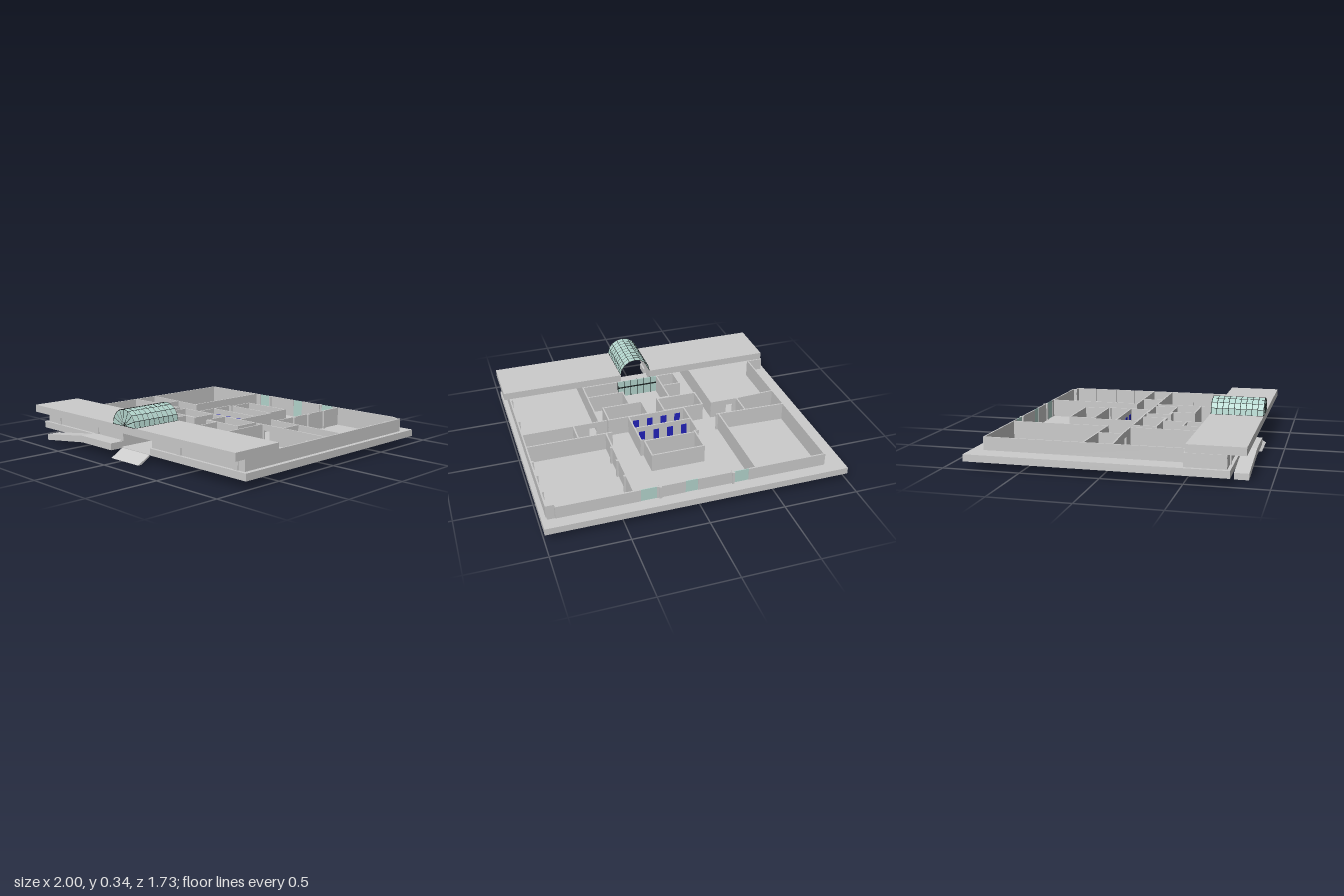
import * as THREE from 'three';

const mat = (color, double) => new THREE.MeshStandardMaterial({ color, flatShading: true, side: double ? THREE.DoubleSide : THREE.FrontSide });
const GREY = mat(0xcccccc), TEAL = mat(0xb4d6ce, true), FAN = mat(0xb4d6ce), DARK = mat(0x1c2222), BLUE = mat(0x2222bb);
const TOP = 0.18, LOW = 0.046;

export function createModel() {
  const root = new THREE.Group();
  const add = (name, geo, m = GREY, parent = root) => {
    const mesh = new THREE.Mesh(geo, m);
    mesh.name = name;
    parent.add(mesh);
    return mesh;
  };
  const box = (name, x0, x1, y0, y1, z0, z1, m, parent) => {
    const b = add(name, new THREE.BoxGeometry(x1 - x0, y1 - y0, z1 - z0), m, parent);
    b.position.set((x0 + x1) / 2, (y0 + y1) / 2, (z0 + z1) / 2);
    return b;
  };
  const group = (name) => {
    const g = new THREE.Group();
    g.name = name;
    root.add(g);
    return g;
  };
  const extrude = (pts, depth) => new THREE.ExtrudeGeometry(
    new THREE.Shape(pts.map((p) => new THREE.Vector2(...p))), { depth, bevelEnabled: false });

  // raised terrace around the building, open at the entrance
  const terrace = [[-1, 0.77], [-0.13, 0.77], [-0.13, 0.75], [-0.97, 0.75], [-0.97, 0.5], [-0.865, 0.5],
    [-0.865, -0.78], [0.96, -0.78], [0.96, 0.75], [0.17, 0.75], [0.17, 0.77], [0.995, 0.77], [0.995, -0.865], [-1, -0.865]];
  const terraceGeo = extrude(terrace.map(([x, z]) => [x, -z]), 0.045);
  terraceGeo.rotateX(-Math.PI / 2);
  add('terrace', terraceGeo).position.y = 0.05;
  box('floor', -0.97, 0.965, 0.05, 0.055, -0.78, 0.75);
  box('entranceFloor', -0.13, 0.17, 0.05, 0.055, 0.75, 0.77);

  // side walkway sloping to the ground, and the entrance ramp
  add('walkwayRamp', extrude([[-0.83, 0], [-0.42, 0.05], [-0.11, 0.05], [-0.11, 0.095], [-0.42, 0.095], [-0.83, 0.04]], 0.09)).position.z = 0.77;
  const ramp = extrude([[-0.86, 0], [-0.835, 0], [-0.77, 0.04], [-0.77, 0.052]], 0.27);
  ramp.rotateY(Math.PI / 2);
  add('entranceRamp', ramp).position.x = -0.11;

  // walls between plan points; a door is [start, end] along the wall, under a lintel
  const walls = group('walls');
  const wall = (x0, z0, x1, z1, door) => {
    const len = Math.hypot(x1 - x0, z1 - z0), g = new THREE.Group();
    g.name = 'wall';
    g.position.set(x0, 0, z0);
    g.rotation.y = -Math.atan2(z1 - z0, x1 - x0);
    walls.add(g);
    const piece = (a, b, y0) => box('wallPiece', a, b, y0, TOP, -0.005, 0.005, GREY, g);
    if (!door) return piece(-0.004, len + 0.004, LOW);
    piece(-0.004, door[0], LOW);
    piece(door[0], door[1], 0.14);
    piece(door[1], len + 0.004, LOW);
  };
  const path = (...p) => p.slice(1).forEach((q, i) => wall(...p[i], ...q));
  const room = (x0, x1, z0, z1) => path([x0, z0], [x1, z0], [x1, z1], [x0, z1], [x0, z0]);

  // outer walls
  path([-0.34, -0.78], [-0.865, -0.78], [-0.865, 0.5], [-0.97, 0.5], [-0.97, 0.745], [-0.13, 0.745], [-0.13, 0.5]);
  path([0.38, -0.78], [0.905, -0.78], [0.905, -0.755], [0.96, -0.755], [0.96, 0.745], [0.17, 0.745], [0.17, 0.5]);
  path([-0.23, -0.78], [0, -0.78]);
  path([0.09, -0.78], [0.27, -0.78]);
  // halls on both sides
  path([-0.385, -0.78], [-0.385, -0.125], [-0.37, -0.125]);
  wall(-0.865, -0.14, -0.385, -0.125);
  wall(-0.865, 0.045, -0.58, 0.03);
  wall(-0.58, 0.03, -0.39, 0.03, [0.03, 0.08]);
  wall(-0.39, 0.03, -0.39, 0.745);
  wall(-0.58, -0.13, -0.58, 0.03);
  wall(0.42, -0.78, 0.42, -0.12);
  wall(0.38, -0.12, 0.96, -0.12);
  wall(0.42, 0.03, 0.96, 0.03, [0.03, 0.08]);
  wall(0.43, 0.03, 0.43, 0.745);
  wall(0.61, -0.12, 0.61, 0.03);
  wall(0.42, 0.03, 0.38, 0.03);
  // rooms in the middle
  room(-0.155, 0.2, -0.455, -0.285);
  path([-0.155, -0.27], [-0.18, -0.27], [-0.18, 0.025]);
  path([0.2, -0.27], [0.22, -0.27], [0.22, 0.025]);
  room(-0.32, -0.04, 0.03, 0.19);
  room(0.08, 0.36, 0.03, 0.19);
  path([-0.04, 0.2], [-0.13, 0.2], [-0.13, 0.5]);
  path([0.08, 0.2], [0.17, 0.2], [0.17, 0.355], [0.43, 0.355], [0.43, 0.5], [0.17, 0.5]);
  room(-0.26, -0.13, 0.355, 0.5);

  // central walls with blue doors
  const doors = group('centralDoors');
  for (const z of [-0.12, 0.025]) {
    wall(-0.18, z, 0.22, z);
    for (let i = 0; i < 4; i++) {
      const x = -0.13 + i * 0.1;
      box('blueDoor', x - 0.02, x + 0.02, 0.055, 0.145, z - 0.008, z + 0.008, BLUE, doors);
    }
  }

  // pilasters
  const pilasters = group('pilasters');
  for (const z of [-0.61, -0.44, -0.29, 0.2, 0.49]) {
    box('pilaster', 0.942, 0.96, LOW, TOP, z - 0.009, z + 0.009, GREY, pilasters);
    if (z < 0) box('pilaster', 0.42, 0.438, LOW, TOP, z - 0.009, z + 0.009, GREY, pilasters);
  }
  for (const x of [-0.84, -0.4, 0.42, 0.9]) box('pilaster', x - 0.018, x + 0.018, LOW, TOP, 0.74, 0.757, GREY, pilasters);
  for (const x of [-0.23, 0.25]) box('pilaster', x - 0.008, x + 0.008, LOW, TOP, -0.795, -0.765, GREY, pilasters);

  // back windows
  for (const [a, b] of [[-0.34, -0.23], [0, 0.09], [0.27, 0.38]]) box('backWindow', a, b, LOW, TOP, -0.782, -0.778, TEAL);

  // glazed entrance front
  const front = group('entranceGlazing');
  box('entranceGlass', -0.13, 0.17, 0.05, TOP, 0.495, 0.5, TEAL, front);
  box('transom', -0.13, 0.17, 0.126, 0.134, 0.49, 0.506, DARK, front);
  for (const x of [-0.128, -0.08, -0.03, 0.02, 0.07, 0.12, 0.168]) box('mullion', x - 0.002, x + 0.002, 0.05, TOP, 0.492, 0.504, DARK, front);

  // flat roof with an opening below the glass vault
  const roof = group('frontRoof');
  box('roofRight', -0.97, -0.08, TOP, 0.23, 0.505, 0.86, GREY, roof);
  box('roofLeft', 0.14, 1, TOP, 0.23, 0.505, 0.86, GREY, roof);
  box('roofFrontBeam', -0.08, 0.14, TOP, 0.23, 0.845, 0.86, GREY, roof);

  // barrel vault: glass strips, ribs and a fan at the front
  const vault = group('glassVault');
  vault.position.set(0.03, 0.23, 0.51);
  const SEG = 8, LEN = 0.35, R = 0.11;
  const at = (i, z) => {
    const t = Math.PI * i / SEG;
    return new THREE.Vector3(Math.cos(t) * R, Math.sin(t) * 0.105, z);
  };
  const glass = new THREE.CylinderGeometry(1, 1, LEN, SEG, 1, true, -Math.PI / 2, Math.PI);
  glass.rotateX(Math.PI / 2).rotateZ(Math.PI);
  glass.computeBoundingBox();
  if (glass.boundingBox.max.y < 0.5) glass.rotateZ(Math.PI);
  glass.scale(R, 0.105, 1).translate(0, 0, LEN / 2);
  add('vaultGlass', glass, TEAL, vault);
  const bar = (p, q) => add('vaultRib', new THREE.TubeGeometry(new THREE.LineCurve3(p, q), 1, 0.0018, 4), DARK, vault);
  const fan = new THREE.CircleGeometry(1, SEG, 0, Math.PI);
  fan.scale(R, 0.105, 1).translate(0, 0, LEN);
  add('vaultFan', fan, FAN, vault);
  for (let i = 0; i <= SEG; i++) {
    bar(at(i, 0), at(i, LEN));
    bar(new THREE.Vector3(0, 0, LEN), at(i, LEN));
    if (i < SEG) for (let k = 0; k <= 9; k++) bar(at(i, k * LEN / 9), at(i + 1, k * LEN / 9));
  }
  return root;
}
